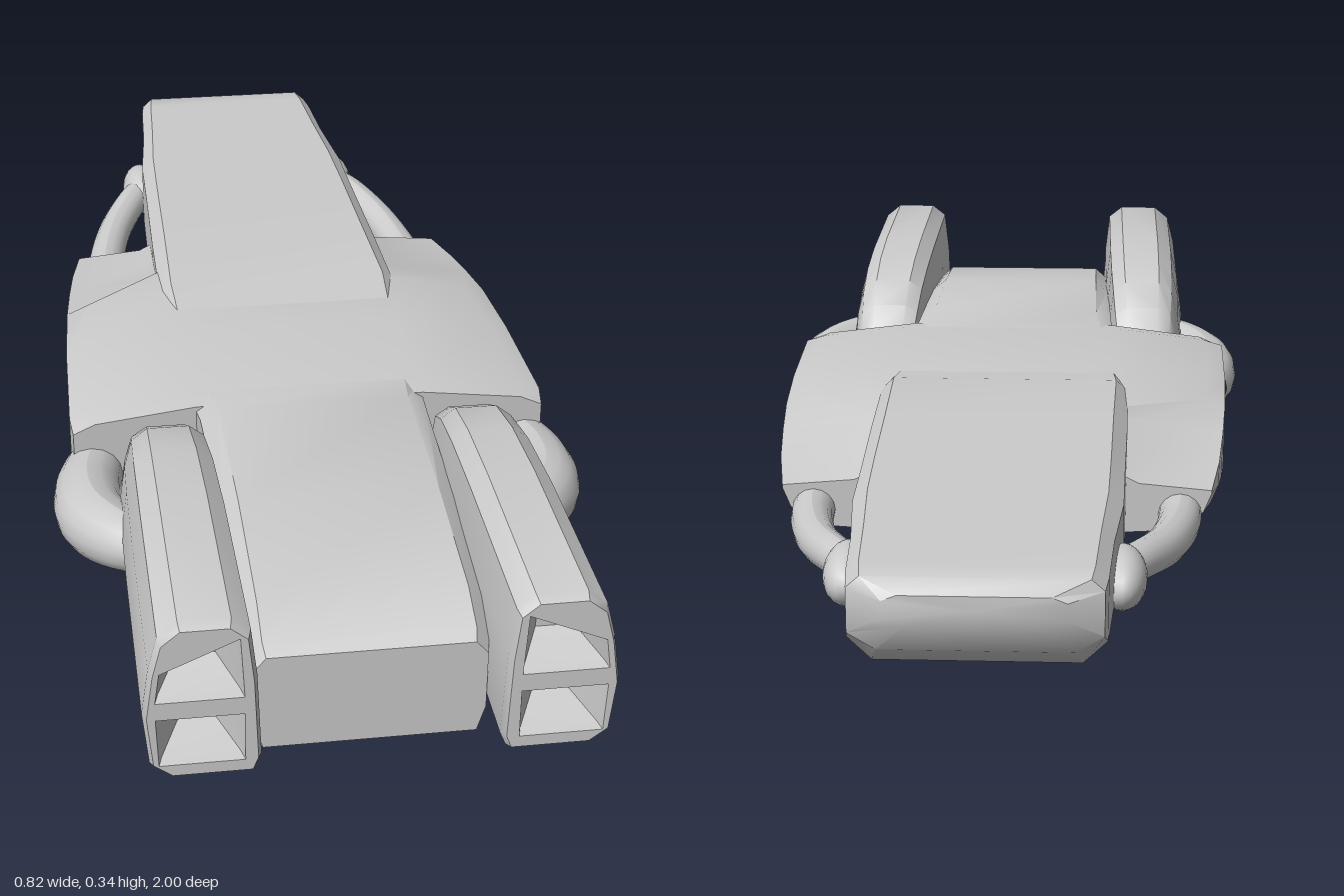
import * as THREE from 'three';
import { toCreasedNormals } from 'three/addons/utils/BufferGeometryUtils.js';

const material = new THREE.MeshStandardMaterial({ color: 0xcccccc });
const openMaterial = new THREE.MeshStandardMaterial({ color: 0xcccccc, side: THREE.DoubleSide });

function add(parent, name, geometry, mat = material) {
  const mesh = new THREE.Mesh(geometry, mat);
  mesh.name = name;
  parent.add(mesh);
  return mesh;
}

// Skin over cross-sections { z, ring }, rings counter-clockwise seen from +z, z rising
function loft(sections, { startCap = true, endCap = true, crease = 0.6 } = {}) {
  const n = sections[0].ring.length;
  const pos = [], idx = [];
  for (const { z, ring } of sections) for (const [x, y] of ring) pos.push(x, y, z);
  for (let i = 0; i < sections.length - 1; i++) {
    for (let j = 0; j < n; j++) {
      const a = i * n + j, b = i * n + (j + 1) % n;
      idx.push(a, b, b + n, a, b + n, a + n);
    }
  }
  const cap = (i, flip) => {
    const { z, ring } = sections[i];
    const c = pos.length / 3;
    pos.push(ring.reduce((s, p) => s + p[0], 0) / n, ring.reduce((s, p) => s + p[1], 0) / n, z);
    for (let j = 0; j < n; j++) {
      const a = i * n + j, b = i * n + (j + 1) % n;
      if (flip) idx.push(c, b, a); else idx.push(c, a, b);
    }
  };
  if (startCap) cap(0, true);
  if (endCap) cap(sections.length - 1, false);
  const g = new THREE.BufferGeometry();
  g.setAttribute('position', new THREE.Float32BufferAttribute(pos, 3));
  g.setIndex(idx);
  return toCreasedNormals(g, crease);
}

// Closed symmetric ring from its +x half, listed bottom to top
const mirrorRing = (half) => [...half, ...half.map(([x, y]) => [-x, y]).reverse()];

// Tube along a curve whose radius follows a rule
function taperedTube(points, radius, rule) {
  const curve = new THREE.CatmullRomCurve3(points.map((p) => new THREE.Vector3(...p)));
  const steps = 20, sides = 16;
  const g = new THREE.TubeGeometry(curve, steps, radius, sides);
  const p = g.attributes.position, v = new THREE.Vector3();
  for (let i = 0; i <= steps; i++) {
    const c = curve.getPointAt(i / steps);
    for (let j = 0; j <= sides; j++) {
      const k = i * (sides + 1) + j;
      v.fromBufferAttribute(p, k).sub(c).multiplyScalar(rule(i / steps)).add(c);
      p.setXYZ(k, v.x, v.y, v.z);
    }
  }
  g.computeVertexNormals();
  return g;
}

// One engine: arched box with two recessed rectangular nozzles
function buildEngine() {
  const engine = new THREE.Group();
  engine.name = 'engine';
  const profile = [[0.17, 0.1], [0.285, 0.1], [0.312, 0.12], [0.32, 0.2], [0.31, 0.27],
    [0.297, 0.32], [0.27, 0.342], [0.2, 0.342], [0.175, 0.322], [0.167, 0.25], [0.162, 0.12]];
  const mid = [0.243, 0.21];
  const ringAt = (top, width) => profile.map(([x, y]) =>
    [mid[0] + (x - mid[0]) * width, 0.1 + (y - 0.1) * (top - 0.1) / 0.242]);
  const stations = [[0.33, 0.2, 0.66], [0.345, 0.24, 0.76], [0.38, 0.28, 0.84], [0.44, 0.312, 0.9],
    [0.54, 0.332, 0.95], [0.68, 0.341, 0.98], [0.985, 0.342, 1]];
  const sections = stations.map(([z, top, width]) => ({ z, ring: ringAt(top, width) }));
  const endRing = profile.map(([x, y]) => [mid[0] + (x - mid[0]) * 0.93, mid[1] + (y - mid[1]) * 0.95]);
  sections.push({ z: 1, ring: endRing });
  add(engine, 'engineShell', loft(sections, { endCap: false }));

  const openings = [
    [[0.185, 0.123], [0.3, 0.123], [0.303, 0.198], [0.185, 0.198]],
    [[0.185, 0.225], [0.303, 0.225], [0.29, 0.318], [0.19, 0.318]],
  ];
  const toPoints = (r) => r.map(([x, y]) => new THREE.Vector2(x, y));
  const face = new THREE.Shape(toPoints(endRing));
  for (const o of openings) face.holes.push(new THREE.Path(toPoints(o)));
  add(engine, 'nozzleFrame', new THREE.ShapeGeometry(face).translate(0, 0, 1));

  for (const o of openings) {
    const cx = o.reduce((s, p) => s + p[0], 0) / 4, cy = o.reduce((s, p) => s + p[1], 0) / 4;
    const shrink = (k) => o.map(([x, y]) => [cx + (x - cx) * k, cy + (y - cy) * k]);
    add(engine, 'nozzleRecess', loft([
      { z: 0.93, ring: shrink(0.45) }, { z: 0.985, ring: shrink(0.92) }, { z: 1, ring: o },
    ], { endCap: false, crease: 0.3 }), openMaterial);
  }
  return engine;
}

function buildSide() {
  const side = new THREE.Group();
  side.name = 'sideParts';
  side.add(buildEngine());

  // Bulging duct from the flank into the engine
  add(side, 'intakeElbow', taperedTube(
    [[0.345, 0.155, 0.29], [0.358, 0.155, 0.36], [0.35, 0.16, 0.45], [0.3, 0.172, 0.535], [0.25, 0.18, 0.57]],
    0.055, (t) => 0.85 + 0.18 * Math.sin(Math.PI * t) - 0.2 * t * t));

  // Curved pipe from the flank to the nose, with its socket
  add(side, 'nosePipe', taperedTube(
    [[0.285, 0.155, -0.37], [0.28, 0.157, -0.45], [0.255, 0.168, -0.57], [0.215, 0.182, -0.67], [0.18, 0.187, -0.73]],
    0.034, (t) => 1 - 0.2 * t));
  const socket = add(side, 'pipeSocket', new THREE.SphereGeometry(1, 20, 14));
  socket.scale.set(0.036, 0.042, 0.075);
  socket.position.set(0.192, 0.182, -0.73);
  return side;
}

export function createModel() {
  const model = new THREE.Group();
  model.name = 'spacecraft';

  // Long central hull: z, bottom half width, bottom y, half width, lower y, upper y, top half width, top y
  const hull = [
    [-1, 0.09, 0.215, 0.12, 0.225, 0.25, 0.1, 0.258],
    [-0.975, 0.13, 0.172, 0.168, 0.195, 0.258, 0.15, 0.274],
    [-0.93, 0.14, 0.138, 0.173, 0.17, 0.26, 0.155, 0.276],
    [-0.8, 0.14, 0.126, 0.18, 0.16, 0.26, 0.162, 0.277],
    [-0.65, 0.14, 0.115, 0.194, 0.15, 0.26, 0.172, 0.278],
    [-0.5, 0.14, 0.075, 0.197, 0.13, 0.26, 0.176, 0.28],
    [-0.3, 0.14, 0.055, 0.202, 0.11, 0.26, 0.18, 0.281],
    [-0.1, 0.14, 0.05, 0.205, 0.11, 0.262, 0.185, 0.281],
    [0, 0.15, 0.05, 0.2, 0.11, 0.25, 0.18, 0.267],
    [0.25, 0.15, 0.05, 0.185, 0.1, 0.25, 0.16, 0.268],
    [0.34, 0.155, 0.053, 0.178, 0.1, 0.262, 0.15, 0.28],
    [0.6, 0.155, 0.055, 0.172, 0.1, 0.255, 0.148, 0.274],
    [0.82, 0.155, 0.055, 0.167, 0.1, 0.23, 0.148, 0.248],
    [0.88, 0.155, 0.055, 0.166, 0.1, 0.2, 0.148, 0.222],
    [0.9, 0.15, 0.06, 0.162, 0.1, 0.19, 0.145, 0.21],
  ];
  add(model, 'centralHull', loft(hull.map(([z, wb, yb, w, yl, yh, wt, yt]) => ({
    z, ring: mirrorRing([[wb, yb], [w, yl], [w, yh], [wt, yt]]),
  }))));

  // Broad midsection: z, keel y, lower y, half width, shoulder y, deck half width, deck y
  const flanks = [
    [-0.4, 0.125, 0.13, 0.332, 0.195, 0.22, 0.205],
    [-0.3, 0.1, 0.11, 0.348, 0.208, 0.22, 0.22],
    [-0.2, 0.055, 0.09, 0.358, 0.222, 0.21, 0.245],
    [-0.1, 0.035, 0.072, 0.366, 0.234, 0.33, 0.25],
    [0.05, 0.03, 0.062, 0.374, 0.238, 0.345, 0.25],
    [0.27, 0.03, 0.06, 0.379, 0.24, 0.345, 0.25],
    [0.305, 0.035, 0.075, 0.375, 0.23, 0.34, 0.246],
  ];
  add(model, 'midsection', loft(flanks.map(([z, yk, yl, w, ys, wd, yd]) => ({
    z,
    ring: mirrorRing([[0.2, yk], [w - 0.045, yl], [w - 0.012, yl + 0.03], [w, yl + 0.06],
      [w, ys], [wd, yd], [0.18, yd + 0.02]]),
  }))));

  // Faceted belly plate, bevelled towards the ground
  const plan = [[0.1, -0.22], [0.19, -0.1], [0.2, 0.2], [0.165, 0.33], [0.155, 0.48]];
  const plate = (k) => mirrorRing(plan).map(([x, z]) => [x * k, z]);
  const belly = loft([{ z: -0.06, ring: plate(1) }, { z: -0.015, ring: plate(1) }, { z: 0, ring: plate(0.68) }],
    { crease: 0.2 });
  add(model, 'bellyPlate', belly.rotateX(Math.PI / 2).scale(1, 1, 1));

  // Engines, ducts and pipes on both sides
  const left = buildSide();
  const right = buildSide();
  right.scale.x = -1;
  model.add(left, right);
  return model;
}
